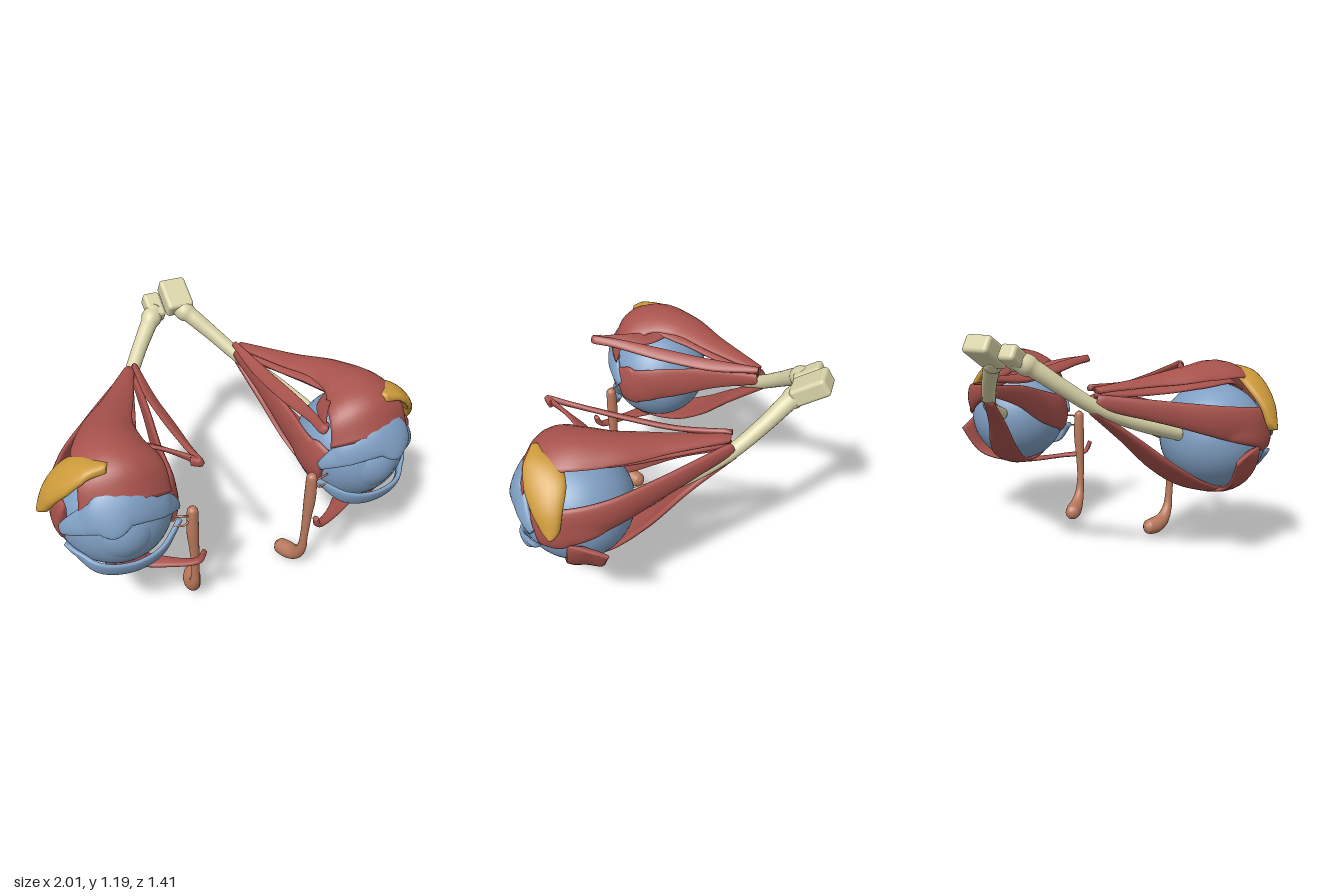
import * as THREE from 'three';
import { RoundedBoxGeometry } from 'three/addons/geometries/RoundedBoxGeometry.js';

const mat = (color) => new THREE.MeshStandardMaterial({ color, roughness: 0.7 });
const EYE = new THREE.Vector3(0.64, 0.64, 0.405);
const R = 0.28;

// Lofted band. Rows are [x, y, z, wx, wy, wz]: centre and half-width vector.
// th: half thickness (0 = round section), bow: how far the edges curl towards the eye,
// shell: least distance of the band from the eye centre.
function band(rows, { th = 0, bow = 0, shell = 0 } = {}) {
  const SEG = 40, RING = 20;
  const centre = new THREE.CatmullRomCurve3(rows.map((r) => new THREE.Vector3(r[0], r[1], r[2])));
  const width = new THREE.CatmullRomCurve3(rows.map((r) => new THREE.Vector3(r[3], r[4], r[5])));
  const pos = [], idx = [];
  const soft = (s) => Math.sign(s) * Math.pow(Math.abs(s), 0.65);
  for (let i = 0; i <= SEG; i++) {
    const c = centre.getPoint(i / SEG), t = centre.getTangent(i / SEG), w = width.getPoint(i / SEG);
    const len = w.length();
    w.addScaledVector(t, -w.dot(t)).setLength(len);
    const n = t.clone().cross(w).setLength(th || len);
    const inward = EYE.clone().sub(c).normalize();
    for (let j = 0; j < RING; j++) {
      const a = (j / RING) * Math.PI * 2, ca = Math.cos(a), sa = Math.sin(a);
      const p = c.clone().addScaledVector(w, ca).addScaledVector(inward, bow * len * ca * ca);
      const d = p.clone().sub(EYE);
      if (shell && d.length() < shell) p.copy(EYE).add(d.setLength(shell));
      p.addScaledVector(n, th ? soft(sa) : sa);
      pos.push(p.x, p.y, p.z);
    }
  }
  for (let i = 0; i < SEG; i++) {
    for (let j = 0; j < RING; j++) {
      const a = i * RING + j, b = i * RING + ((j + 1) % RING);
      idx.push(a, b, b + RING, a, b + RING, a + RING);
    }
  }
  // End caps
  const last = SEG * RING;
  for (let j = 1; j < RING - 1; j++) idx.push(0, j + 1, j, last, last + j, last + j + 1);
  const g = new THREE.BufferGeometry();
  g.setAttribute('position', new THREE.Float32BufferAttribute(pos, 3));
  g.setIndex(idx);
  g.computeVertexNormals();
  return g;
}

// Mirrored copy across x = 0 with the winding restored
function mirror(geometry) {
  const g = geometry.clone().scale(-1, 1, 1);
  const ix = g.index.array;
  for (let i = 0; i < ix.length; i += 3) [ix[i], ix[i + 1]] = [ix[i + 1], ix[i]];
  return g;
}

const round = (pts) => band(pts.map(([x, y, z, r]) => [x, y, z, r, 0, 0]));

export function createModel() {
  const model = new THREE.Group();
  model.name = 'eyesWithMuscles';
  const blue = mat(0x7f9fc3), red = mat(0xa8524c), cream = mat(0xd8d2a8);
  const brown = mat(0xb9785c), gold = mat(0xcc9a3a);

  const parts = [];
  const add = (name, geometry, material) => parts.push({ name, geometry, material });

  // Eyeball and cornea
  add('eyeball', new THREE.SphereGeometry(R, 48, 32).translate(EYE.x, EYE.y, EYE.z), blue);
  add('cornea', new THREE.SphereGeometry(0.178, 40, 28).translate(0.65, EYE.y, 0.522), blue);

  // Eyelids
  add('upperEyelid', band([
    [0.385, 0.66, 0.55, 0, 0.02, 0], [0.47, 0.755, 0.63, 0, 0.06, -0.02],
    [0.64, 0.81, 0.67, 0, 0.07, -0.03], [0.8, 0.78, 0.635, 0, 0.07, -0.03],
    [0.905, 0.665, 0.5, 0, 0.025, 0]], { th: 0.016, bow: 0.1, shell: 0.3 }), blue);
  add('lowerEyelid', band([
    [0.37, 0.575, 0.56, 0, 0.012, 0], [0.5, 0.483, 0.64, 0, 0.04, 0.015],
    [0.65, 0.46, 0.662, 0, 0.045, 0.02], [0.8, 0.487, 0.63, 0, 0.04, 0.015],
    [0.905, 0.57, 0.5, 0, 0.012, 0]], { th: 0.014, shell: 0.295 }), blue);

  // Muscles, each running from the back of the socket forward
  add('lidLifterMuscle', band([
    [0.32, 0.93, -0.27, 0.03, 0, 0], [0.47, 0.965, 0, 0.08, 0, 0], [0.59, 1.005, 0.2, 0.125, 0, 0],
    [0.645, 1.025, 0.4, 0.175, 0, 0], [0.63, 0.975, 0.57, 0.205, 0, 0],
    [0.63, 0.83, 0.655, 0.22, 0, 0]], { th: 0.014, bow: 0.4, shell: 0.3 }), red);
  add('superiorRectus', band([
    [0.32, 0.9, -0.27, 0.025, 0, 0], [0.46, 0.905, 0, 0.055, 0, 0], [0.57, 0.93, 0.2, 0.09, 0, 0],
    [0.64, 0.945, 0.4, 0.11, 0, 0], [0.64, 0.9, 0.53, 0.12, 0, 0]], { th: 0.015, bow: 0.2, shell: 0.29 }), red);
  add('lateralRectus', band([
    [0.335, 0.88, -0.285, 0, 0.035, 0], [0.62, 0.81, -0.03, 0, 0.06, 0], [0.82, 0.755, 0.17, 0, 0.085, 0],
    [0.915, 0.72, 0.35, 0, 0.1, 0], [0.91, 0.69, 0.5, 0, 0.1, 0]], { th: 0.018, bow: 0.15, shell: 0.287 }), red);
  add('medialRectus', band([
    [0.3, 0.88, -0.27, 0, 0.03, 0], [0.325, 0.82, 0, 0, 0.06, 0], [0.35, 0.73, 0.25, 0, 0.09, 0],
    [0.36, 0.67, 0.45, 0, 0.1, 0], [0.4, 0.65, 0.56, 0, 0.1, 0]], { th: 0.016, bow: 0.15, shell: 0.287 }), red);
  add('inferiorRectus', band([
    [0.32, 0.83, -0.29, 0.025, 0, 0], [0.41, 0.67, -0.1, 0.055, 0, 0], [0.51, 0.5, 0.08, 0.09, 0, 0],
    [0.59, 0.39, 0.25, 0.105, 0, 0], [0.63, 0.36, 0.42, 0.11, 0, 0],
    [0.63, 0.41, 0.56, 0.1, 0, 0]], { th: 0.018, bow: 0.15, shell: 0.287 }), red);
  add('inferiorOblique', band([
    [0.3, 0.45, 0.69, 0, 0.01, 0.012], [0.325, 0.39, 0.675, 0, 0.008, 0.02], [0.45, 0.36, 0.6, 0, 0, 0.03],
    [0.64, 0.348, 0.45, 0, 0, 0.06], [0.81, 0.42, 0.32, 0, 0, 0.085],
    [0.9, 0.59, 0.25, 0, 0, 0.1]], { th: 0.013, shell: 0.295 }), red);
  add('superiorOblique', band([
    [0.29, 0.94, -0.27, 0.012, 0.012, 0], [0.305, 0.92, 0, 0.028, 0.02, 0], [0.31, 0.935, 0.25, 0.03, 0.02, 0],
    [0.315, 0.965, 0.55, 0.018, 0.018, 0], [0.31, 0.972, 0.67, 0.01, 0.02, 0],
    [0.34, 0.965, 0.64, 0, 0.022, 0]], { th: 0.014 }), red);
  add('superiorObliqueTendon', band([
    [0.31, 0.972, 0.67, 0, 0.02, 0], [0.37, 0.96, 0.56, 0.01, 0.02, 0.01],
    [0.46, 0.935, 0.42, 0.02, 0.02, 0.03], [0.6, 0.93, 0.34, 0, 0, 0.06]], { th: 0.011, shell: 0.29 }), red);

  // Optic nerve
  add('opticNerve', round([
    [0.57, 0.675, 0.15, 0.035], [0.46, 0.755, -0.09, 0.036], [0.33, 0.845, -0.27, 0.037],
    [0.21, 0.96, -0.41, 0.04], [0.12, 1.045, -0.5, 0.045], [0.06, 1.09, -0.56, 0.045]]), cream);

  // Tear gland
  add('tearGland', band([
    [0.7, 0.98, 0.56, 0.01, 0, 0.02], [0.79, 0.965, 0.5, 0, 0, 0.085], [0.87, 0.91, 0.45, 0, 0, 0.1],
    [0.94, 0.82, 0.415, 0, 0, 0.075], [0.972, 0.73, 0.39, 0, 0, 0.042],
    [0.98, 0.7, 0.385, 0, 0, 0.015]], { th: 0.024, bow: 0.15 }), gold);

  // Tear sac, duct and the fine channels from the lids
  add('tearDuct', round([
    [0.318, 0.655, 0.59, 0.012], [0.318, 0.635, 0.59, 0.027], [0.318, 0.5, 0.59, 0.03],
    [0.312, 0.4, 0.59, 0.025], [0.305, 0.25, 0.588, 0.02], [0.303, 0.15, 0.575, 0.026],
    [0.295, 0.085, 0.53, 0.038], [0.278, 0.06, 0.47, 0.046], [0.258, 0.058, 0.42, 0.04],
    [0.25, 0.06, 0.402, 0.015]]), brown);
  for (const [y, name] of [[0.62, 'upperTearChannel'], [0.565, 'lowerTearChannel']]) {
    add(name, band([[0.325, 0.6, 0.59, 0, 0.005, 0], [0.36, y, 0.6, 0, 0.005, 0],
      [0.41, y, 0.585, 0, 0.005, 0]]), brown);
  }

  for (const side of ['left', 'right']) {
    const group = new THREE.Group();
    group.name = side + 'Eye';
    for (const { name, geometry, material } of parts) {
      const mesh = new THREE.Mesh(side === 'left' ? geometry : mirror(geometry), material);
      mesh.name = name;
      group.add(mesh);
    }
    model.add(group);
  }

  // Nerve crossing in two halves: the left one is the larger
  for (const [name, x, y, z, w, h, d] of [
    ['leftNerveCrossing', 0.074, 1.12, -0.6, 0.148, 0.095, 0.19],
    ['rightNerveCrossing', -0.067, 1.095, -0.57, 0.094, 0.085, 0.15]]) {
    const mesh = new THREE.Mesh(new RoundedBoxGeometry(w, h, d, 4, 0.02), cream);
    mesh.name = name;
    mesh.position.set(x, y, z);
    mesh.rotation.x = 0.55;
    model.add(mesh);
  }
  return model;
}
